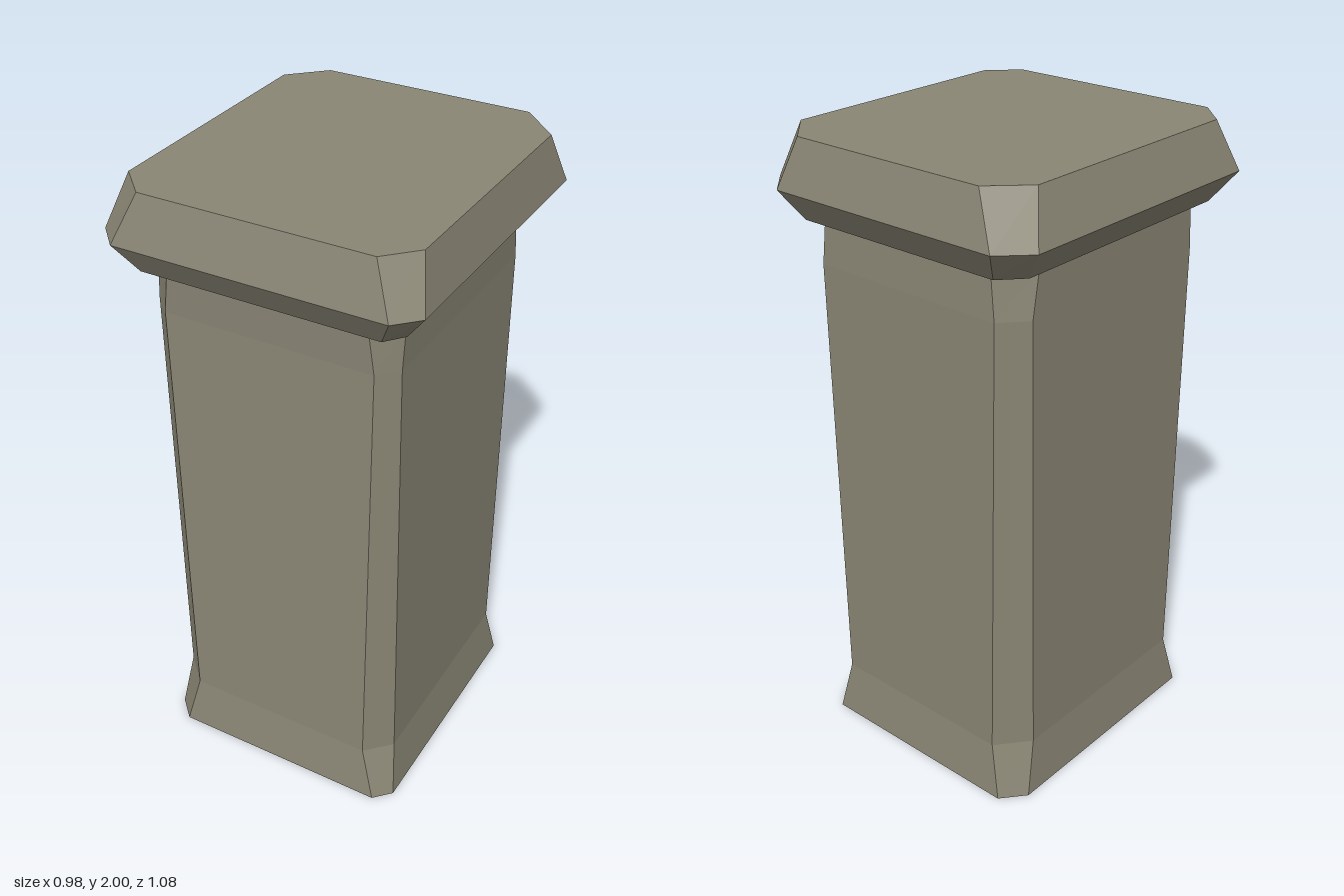
import * as THREE from 'three';

// Eight-cornered ring: each side gives its plane offset and the span of its flat edge.
function ring(y, front, right, back, left) {
  return [
    [front[1], y, front[0]], [right[0], y, right[2]],
    [right[0], y, right[1]], [back[2], y, back[0]],
    [back[1], y, back[0]], [left[0], y, left[1]],
    [left[0], y, left[2]], [front[2], y, front[0]],
  ].map((p) => new THREE.Vector3(...p));
}

// Skin consecutive rings (ordered bottom to top), optionally closing the last one.
function loft(rings, closeTop) {
  const pos = [];
  const tri = (a, b, c) => [a, b, c].forEach((p) => pos.push(p.x, p.y, p.z));
  for (let k = 0; k < rings.length - 1; k++) {
    const lo = rings[k], hi = rings[k + 1];
    for (let i = 0; i < 8; i++) {
      const j = (i + 1) % 8;
      tri(lo[i], lo[j], hi[j]);
      tri(lo[i], hi[j], hi[i]);
    }
  }
  if (closeTop) {
    const top = rings[rings.length - 1];
    for (let i = 1; i < 7; i++) tri(top[0], top[i], top[i + 1]);
  }
  const g = new THREE.BufferGeometry();
  g.setAttribute('position', new THREE.Float32BufferAttribute(pos, 3));
  g.computeVertexNormals();
  return g;
}

export function createModel() {
  const group = new THREE.Group();
  group.name = 'stonePillar';
  const stone = new THREE.MeshStandardMaterial({ color: 0x8a8675, side: THREE.DoubleSide, flatShading: true });
  stone.name = 'stone';

  // Sides: front [z, xMax, xMin], right [x, zMin, zMax], back [z, xMin, xMax], left [x, zMin, zMax]
  const shaftRings = [
    ring(0, [0.465, 0.362, -0.357], [0.413, -0.376, 0.413], [-0.46, -0.355, 0.355], [-0.418, -0.385, 0.405]),
    ring(0.18, [0.445, 0.315, -0.313], [0.39, -0.333, 0.37], [-0.44, -0.315, 0.315], [-0.398, -0.34, 0.36]),
    ring(1.61, [0.431, 0.33, -0.335], [0.384, -0.355, 0.375], [-0.438, -0.33, 0.33], [-0.398, -0.36, 0.37]),
    ring(1.75, [0.438, 0.315, -0.313], [0.388, -0.328, 0.365], [-0.434, -0.315, 0.315], [-0.398, -0.335, 0.36]),
  ];
  const capRings = [
    shaftRings[3], // flat ledge under the cap
    ring(1.75, [0.475, 0.373, -0.373], [0.418, -0.4, 0.42], [-0.475, -0.36, 0.35], [-0.423, -0.405, 0.415]),
    ring(1.845, [0.536, 0.424, -0.419], [0.49, -0.44, 0.468], [-0.54, -0.407, 0.39], [-0.493, -0.454, 0.46]),
    ring(2, [0.495, 0.367, -0.347], [0.453, -0.38, 0.406], [-0.5, -0.336, 0.333], [-0.442, -0.397, 0.4]),
  ];

  // Hollow shaft, open at the foot
  const shaft = new THREE.Mesh(loft(shaftRings, false), stone);
  shaft.name = 'shaft';
  // Overhanging bevelled capstone
  const cap = new THREE.Mesh(loft(capRings, true), stone);
  cap.name = 'capstone';
  group.add(shaft, cap);
  return group;
}
